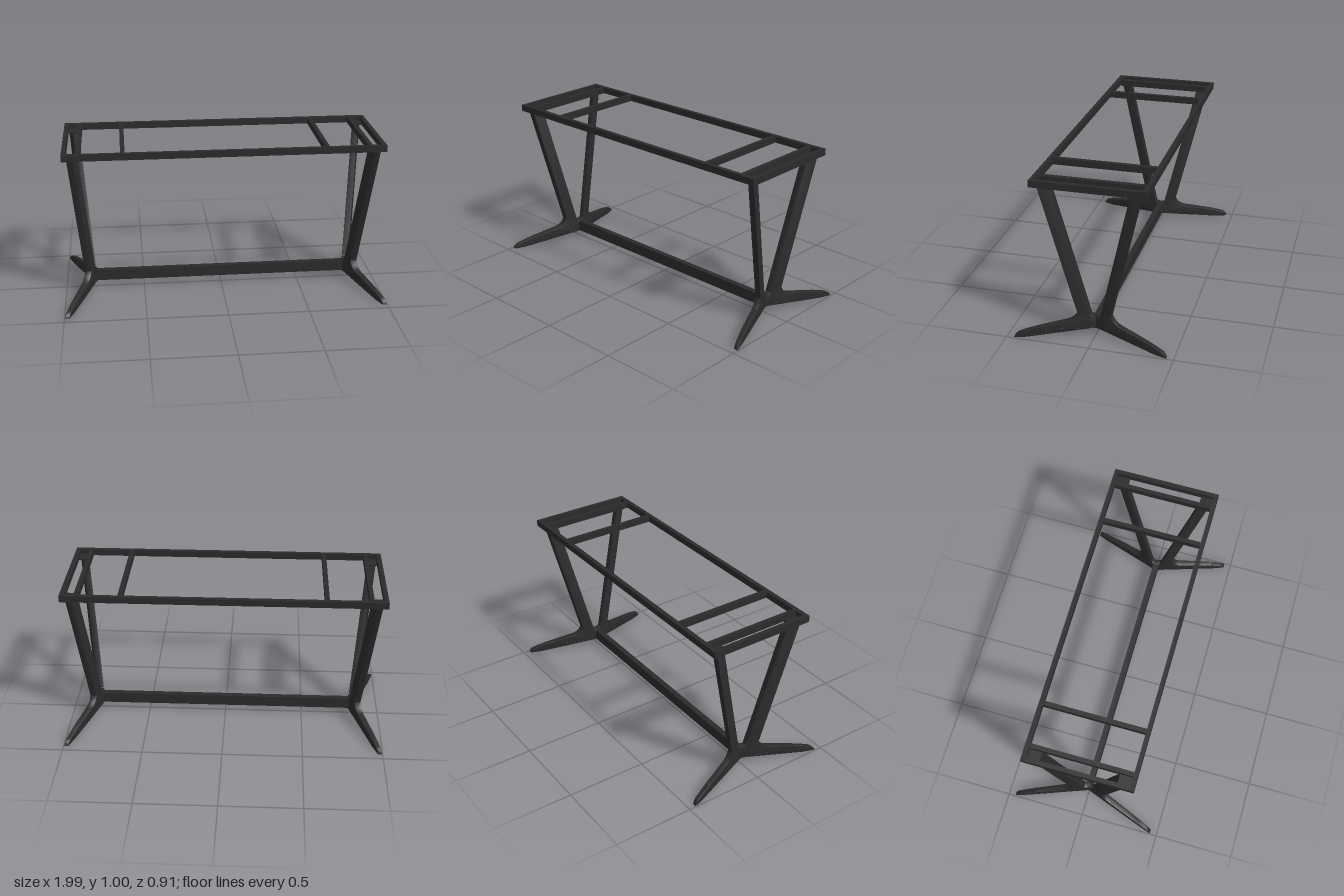
import * as THREE from 'three';
import { toCreasedNormals } from 'three/addons/utils/BufferGeometryUtils.js';

const blackSteel = new THREE.MeshStandardMaterial({ color: 0x2a2a2a });
blackSteel.name = 'blackSteel';

function bar(parent, name, w, h, d, x, y, z) {
  const mesh = new THREE.Mesh(new THREE.BoxGeometry(w, h, d), blackSteel);
  mesh.name = name;
  mesh.position.set(x, y, z);
  parent.add(mesh);
}

// Leg and foot in one outline: u runs outwards from the hub, v is height
function legShape() {
  const s = new THREE.Shape();
  s.moveTo(-0.004, 0.04);
  s.lineTo(0.03, 0.04);
  s.lineTo(0.37, 0.002);
  s.lineTo(0.39, 0);
  s.lineTo(0.457, 0);
  s.quadraticCurveTo(0.45, 0.028, 0.415, 0.037);
  s.quadraticCurveTo(0.37, 0.052, 0.3, 0.067);
  s.lineTo(0.17, 0.094);
  s.quadraticCurveTo(0.12, 0.104, 0.103, 0.15);
  s.lineTo(0.3, 0.965);
  s.lineTo(0.231, 0.965);
  s.lineTo(0.03, 0.133);
  s.quadraticCurveTo(0.028, 0.126, 0.022, 0.126);
  s.lineTo(-0.004, 0.126);
  s.closePath();
  return s;
}

// Turn the outline sideways, splay it away from the hub and thin the toe
function legGeometry(sx, sz) {
  const g = new THREE.ExtrudeGeometry(legShape(), {
    depth: 0.034, curveSegments: 8,
    bevelEnabled: true, bevelThickness: 0.004, bevelSize: 0.004, bevelOffset: -0.004, bevelSegments: 2,
  });
  const p = g.attributes.position;
  for (let i = 0; i < p.count; i++) {
    const u = p.getX(i), v = p.getY(i), w = p.getZ(i) - 0.017;
    const toe = v < 0.2 ? THREE.MathUtils.clamp((u - 0.2) / 0.26, 0, 1) : 0;
    p.setXYZ(i, sx * (0.819 + 0.36 * u) - sz * w * (1 - 0.35 * toe), v, sz * u);
  }
  g.computeVertexNormals();
  return toCreasedNormals(g, 0.5);
}

export function createModel() {
  const model = new THREE.Group();
  model.name = 'tableFrame';

  // Rectangular top frame
  const top = new THREE.Group();
  top.name = 'topFrame';
  model.add(top);
  const h = 0.04, y = 0.983;
  for (const s of [-1, 1]) {
    bar(top, 'longRail', 1.95, h, 0.027, 0, y, s * 0.3215);
    bar(top, 'endRail', 0.027, h, 0.616, s * 0.9615, y, 0);
    bar(top, 'outerCrossbar', 0.027, h, 0.616, s * 0.877, y, 0);
    bar(top, 'innerCrossbar', 0.027, h, 0.616, s * 0.614, y, 0);
  }

  // Splayed legs with mounting plates
  for (const sx of [-1, 1]) {
    const trestle = new THREE.Group();
    trestle.name = sx > 0 ? 'leftTrestle' : 'rightTrestle';
    model.add(trestle);
    for (const sz of [-1, 1]) {
      const leg = new THREE.Mesh(legGeometry(sx, sz), blackSteel);
      leg.name = 'legAndFoot';
      trestle.add(leg);
      bar(trestle, 'mountingPlate', 0.06, 0.008, 0.08, sx * 0.92, 0.968, sz * 0.27);
    }
  }

  // Low stretcher between the hubs
  bar(model, 'stretcher', 1.63, 0.07, 0.036, 0, 0.082, 0);
  return model;
}
